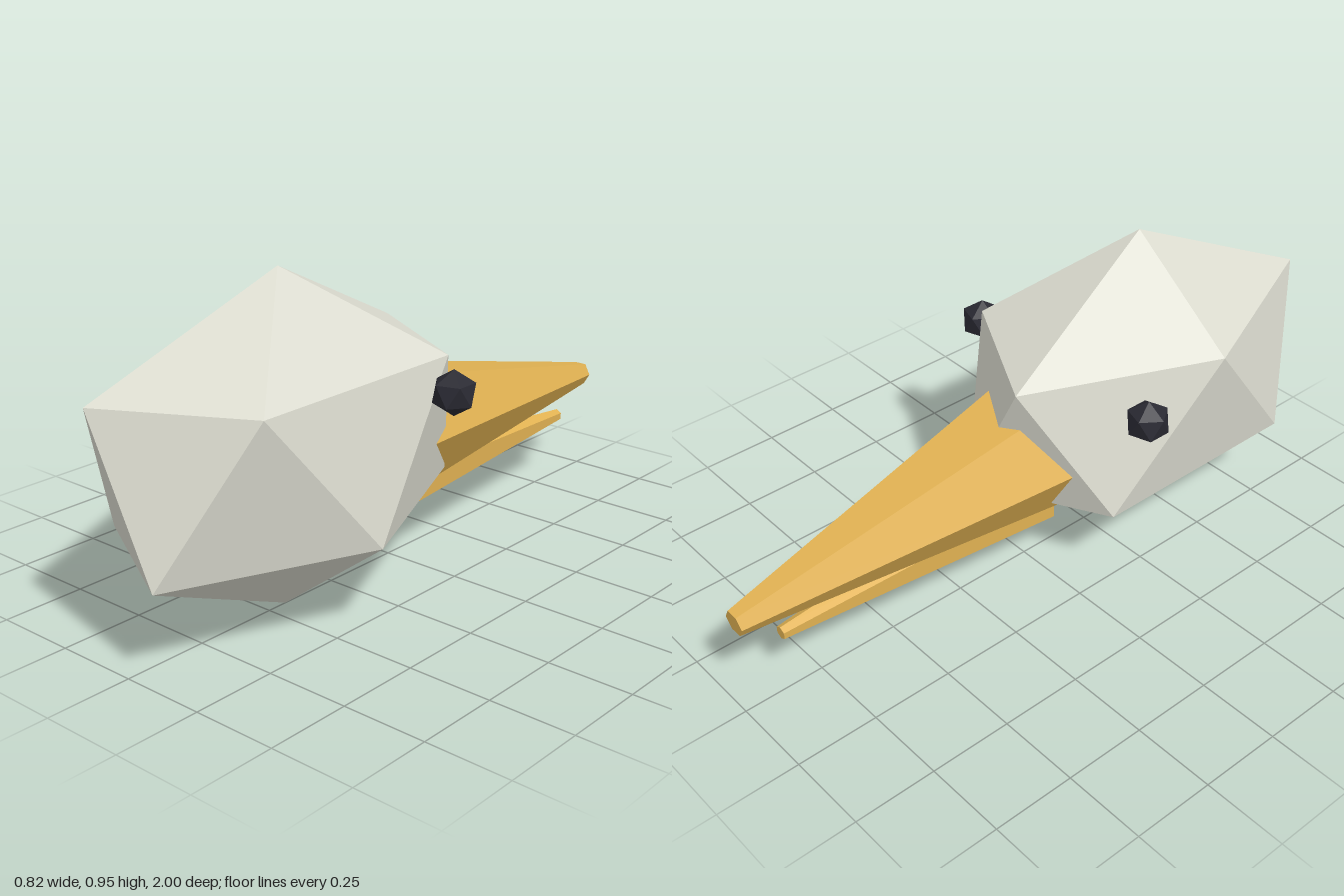
import * as THREE from 'three';
import { ConvexGeometry } from 'three/addons/geometries/ConvexGeometry.js';

const material = (color) => new THREE.MeshStandardMaterial({ color, flatShading: true });

// Icosahedron standing on a corner: two poles and two staggered rings of five
function icosahedron(rx, ry, rz) {
  const points = [new THREE.Vector3(0, ry, 0), new THREE.Vector3(0, -ry, 0)];
  const ring = 2 / Math.sqrt(5);
  for (let i = 0; i < 10; i++) {
    const a = (i * Math.PI) / 5;
    const y = (i % 2 ? ry : -ry) / Math.sqrt(5);
    points.push(new THREE.Vector3(rx * ring * Math.cos(a), y, rz * ring * Math.sin(a)));
  }
  return new ConvexGeometry(points);
}

// Six-sided taper between two points [y, z] on the centre plane
function taper(base, baseRadius, tip, tipRadius, spin) {
  const dy = tip[0] - base[0];
  const dz = tip[1] - base[1];
  const geometry = new THREE.CylinderGeometry(tipRadius, baseRadius, Math.hypot(dy, dz), 6);
  geometry.rotateY(spin);
  geometry.rotateX(Math.atan2(dz, dy));
  geometry.translate(0, (base[0] + tip[0]) / 2, (base[1] + tip[1]) / 2);
  return geometry;
}

export function createModel() {
  const group = new THREE.Group();
  const add = (name, geometry, mat, x = 0, y = 0, z = 0) => {
    const mesh = new THREE.Mesh(geometry, mat);
    mesh.name = name;
    mesh.position.set(x, y, z);
    group.add(mesh);
  };
  const feather = material(0xdcdcd0);
  const horn = material(0xe0b152);
  const dark = material(0x2a2a33);

  // Head, narrow across and long front to back
  add('head', icosahedron(0.397, 0.4775, 0.662), feather, 0, 0.4775, 0.437);

  // Eyes at the sides
  const eye = icosahedron(0.065, 0.065, 0.065);
  add('leftEye', eye, dark, 0.35, 0.612, 0.143);
  add('rightEye', eye, dark, -0.35, 0.612, 0.143);

  // Bill: upper half flat on top, lower half with a ridge below
  add('upperBill', taper([0.405, 0.05], 0.21, [0.321, -0.997], 0.038, Math.PI / 6), horn);
  add('lowerBill', taper([0.22, 0.042], 0.1, [0.205, -0.865], 0.02, 0), horn);

  return group;
}
